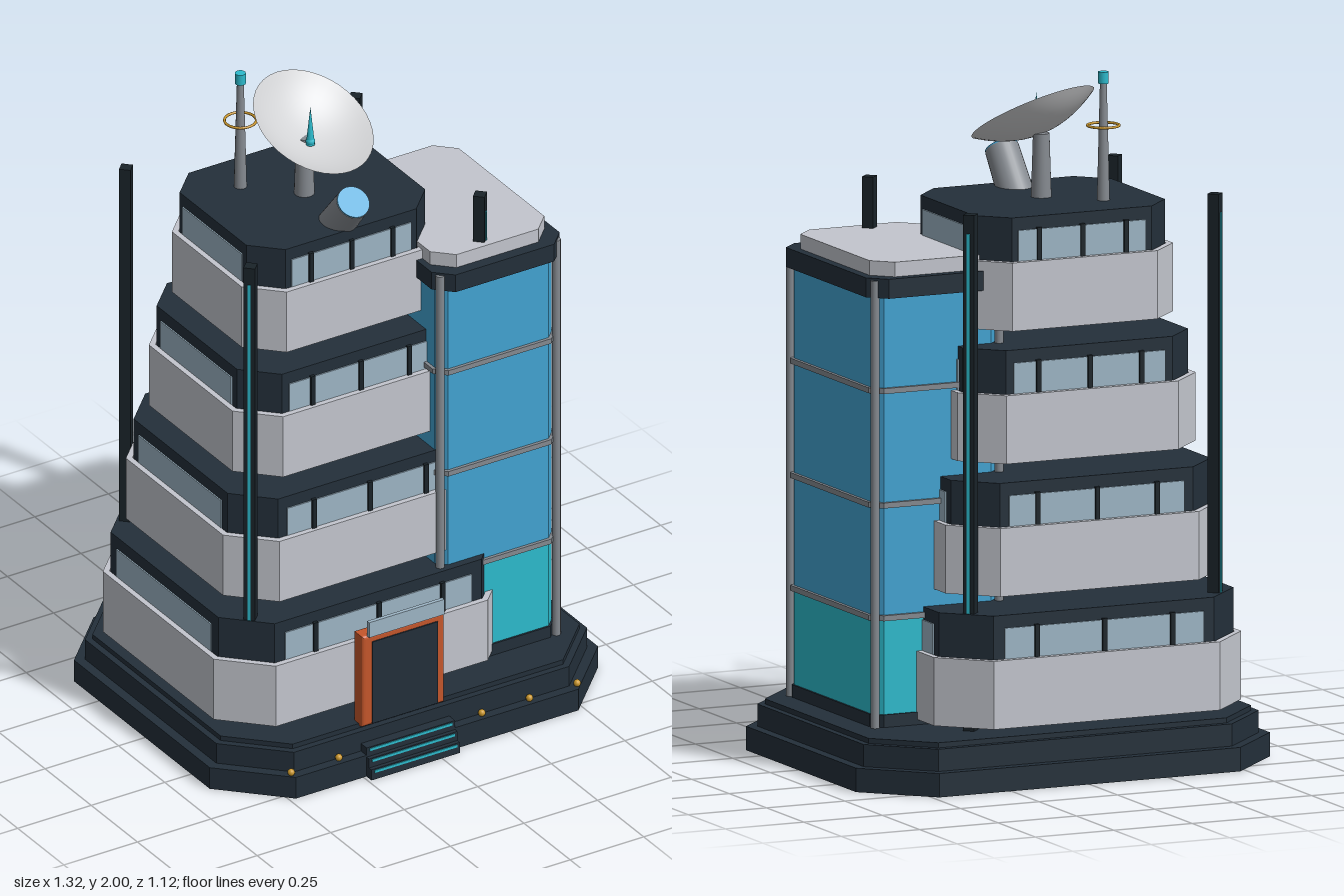
import * as THREE from 'three';

const mat = (name, color, extra = {}) => {
  const m = new THREE.MeshStandardMaterial({ color, ...extra });
  m.name = name;
  return m;
};

// Octagon (rectangle with cut corners) in plan; z is negated so it can be laid flat
function octPoints(x0, x1, z0, z1, c) {
  return [[x0 + c, z1], [x1 - c, z1], [x1, z1 - c], [x1, z0 + c],
    [x1 - c, z0], [x0 + c, z0], [x0, z0 + c], [x0, z1 - c]].map(([x, z]) => new THREE.Vector2(x, -z));
}

// Octagonal slab between two heights, optionally hollow with walls of thickness t
function octSlab([x0, x1, z0, z1, c], y0, y1, t = 0) {
  const shape = new THREE.Shape(octPoints(x0, x1, z0, z1, c));
  if (t) shape.holes.push(new THREE.Path(octPoints(x0 + t, x1 - t, z0 + t, z1 - t, c - t * 0.59).reverse()));
  const g = new THREE.ExtrudeGeometry(shape, { depth: y1 - y0, bevelEnabled: false });
  return g.rotateX(-Math.PI / 2).translate(0, y0, 0);
}

const inset = ([x0, x1, z0, z1, c], d) => [x0 + d, x1 - d, z0 + d, z1 - d, c - d * 0.59];

export function createModel() {
  const root = new THREE.Group();
  root.name = 'tower';
  const dark = mat('dark cladding', 0x232f3a);
  const black = mat('black steel', 0x1a2329);
  const white = mat('pale concrete', 0xc3c6ce);
  const pane = mat('window glass', 0x9db5c5);
  const blue = mat('blue glass', 0x42a3d2);
  const teal = mat('teal glass', 0x2cbbcd);
  const grey = mat('grey metal', 0x858a90);
  const orange = mat('orange frame', 0xc5562b);
  const gold = mat('gold', 0xc9962a);
  const shell = mat('dish white', 0xd2d3d5, { side: THREE.DoubleSide });

  const add = (name, geometry, material, x = 0, y = 0, z = 0, parent = root) => {
    const m = new THREE.Mesh(geometry, material);
    m.name = name;
    m.position.set(x, y, z);
    parent.add(m);
    return m;
  };
  const box = (w, h, d) => new THREE.BoxGeometry(w, h, d);
  const cyl = (r0, r1, h, n = 20) => new THREE.CylinderGeometry(r0, r1, h, n);

  // Stepped base
  const plot = [-0.66, 0.66, -0.565, 0.53, 0.18];
  add('baseLower', octSlab(plot, 0, 0.07), dark);
  add('baseMiddle', octSlab(inset(plot, 0.03), 0.07, 0.135), dark);
  add('baseUpper', octSlab(inset(plot, 0.05), 0.135, 0.15), dark);

  // Entrance steps with glowing edges
  for (let i = 0; i < 3; i++) {
    const front = 0.557 - i * 0.013, top = 0.035 + i * 0.03;
    add('step', box(0.3, top, 0.1), dark, -0.09, top / 2, front - 0.05);
    add('stepLight', box(0.28, 0.008, 0.006), teal, -0.09, top - 0.008, front);
  }

  // Small lamps along the front of the base
  for (let i = 0; i < 7; i++) {
    if (i !== 2) add('baseLamp', new THREE.SphereGeometry(0.011, 10, 8), gold, -0.485 + i * 0.162, 0.08, 0.512);
  }

  // Four stacked storeys, each smaller than the one below
  for (let i = 0; i < 4; i++) {
    const storey = new THREE.Group();
    storey.name = 'storey' + (i + 1);
    root.add(storey);
    const hx = 0.49 - i * 0.055, hz = 0.43 - i * 0.049, y = 0.165 + i * 0.377, c = 0.13 - i * 0.012;
    const band = [-0.1 - hx, -0.1 + hx, -0.04 - hz, -0.04 + hz, c];
    add('parapet', octSlab(band, y, y + 0.2, 0.018), white, 0, 0, 0, storey);
    const wall = inset(band, 0.021);
    add('storeyBody', octSlab(wall, y + 0.004, y + 0.328), dark, 0, 0, 0, storey);
    const flatX = 2 * (hx - c), flatZ = 2 * (hz - c), wy = y + 0.24;
    for (const s of [-1, 1]) {
      const zf = -0.04 + s * (hz - 0.021), xf = -0.1 + s * (hx - 0.021);
      add('longWindow', box(flatX * 0.88, 0.1, 0.008), pane, -0.1, wy, zf, storey);
      add('sideWindow', box(0.008, 0.1, flatZ * 0.85), pane, xf, wy, -0.04, storey);
      for (const k of [-1, 0, 1]) {
        add('mullion', box(0.014, 0.11, 0.02), black, -0.1 + k * flatX * 0.3, wy, zf, storey);
      }
    }
  }

  // Corner masts with light strips on their outward faces
  for (const sx of [-1, 1]) for (const sz of [-1, 1]) {
    const mast = new THREE.Group();
    mast.name = 'cornerMast';
    mast.position.set(-0.1 + sx * 0.39, 0.905, -0.037 + sz * 0.337);
    mast.rotation.y = Math.atan2(sx, sz);
    root.add(mast);
    add('mastPost', box(0.034, 1.51, 0.034), black, 0, 0, 0, mast);
    add('mastLight', box(0.009, 1.4, 0.006), teal, 0, 0, 0.017, mast);
  }

  // Glass stair tower
  const glass = [0.125, 0.523, -0.225, 0.345, 0.028];
  add('glassPlinth', octSlab(inset(glass, -0.006), 0.15, 0.187), dark);
  add('lobbyGlass', octSlab(glass, 0.187, 0.47), teal);
  add('shaftGlass', octSlab(glass, 0.47, 1.41), blue);
  for (const y of [0.47, 0.8, 1.135]) add('glassRail', octSlab(inset(glass, -0.01), y - 0.008, y + 0.008), grey);
  for (const x of [0.128, 0.523]) for (const z of [-0.225, 0.342]) {
    add('glassColumn', cyl(0.013, 0.013, 1.31, 12), grey, x, 0.805, z);
  }
  add('glassCornice', octSlab([0.11, 0.545, -0.26, 0.375, 0.05], 1.41, 1.467), dark);
  add('glassRoof', octSlab([0.13, 0.518, -0.232, 0.34, 0.055], 1.467, 1.51), white);

  // Entrance portal
  const frame = new THREE.Shape([[-0.225, 0.155], [0.035, 0.155], [0.035, 0.435], [-0.225, 0.435]]
    .map(([x, y]) => new THREE.Vector2(x, y)));
  add('doorFrame', new THREE.ExtrudeGeometry(frame, {
    depth: 0.03, bevelThickness: 0.01, bevelSize: 0.01, bevelSegments: 3,
  }), orange, 0, 0, 0.46);
  add('door', box(0.222, 0.27, 0.008), dark, -0.092, 0.287, 0.5);
  add('doorCanopy', box(0.255, 0.05, 0.012), pane, -0.09, 0.468, 0.503);

  // Roof dish on a tapered pedestal
  add('dishPedestal', cyl(0.024, 0.03, 0.19), grey, -0.1, 1.715, -0.03);
  const dish = new THREE.Group();
  dish.name = 'dish';
  dish.position.set(-0.086, 1.867, -0.003);
  dish.quaternion.setFromUnitVectors(new THREE.Vector3(0, 1, 0), new THREE.Vector3(0.19, 0.87, 0.46).normalize());
  root.add(dish);
  const profile = [];
  for (let i = 0; i <= 10; i++) profile.push(new THREE.Vector2(0.19 * i / 10, 0.065 * ((i / 10) ** 2 - 1)));
  add('dishBowl', new THREE.LatheGeometry(profile, 40), shell, 0, 0, 0, dish);
  add('dishFeed', new THREE.ConeGeometry(0.013, 0.125, 12), teal, -0.1, 1.862, 0.003);
  add('dishFeedBase', new THREE.SphereGeometry(0.014, 12, 8), teal, -0.1, 1.81, 0.003);

  // Tilted telescope barrel with a blue lens
  const scope = new THREE.Group();
  scope.name = 'telescope';
  scope.position.set(-0.102, 1.72, 0.237);
  scope.rotation.x = Math.atan2(0.62, 0.78);
  root.add(scope);
  add('telescopeBarrel', cyl(0.05, 0.054, 0.18, 28), grey, 0, -0.09, 0, scope);
  add('telescopeLens', cyl(0.049, 0.049, 0.006, 28), blue, 0, 0.002, 0, scope);

  // Antenna with a gold ring and a teal beacon
  add('antennaMast', cyl(0.01, 0.019, 0.345, 14), grey, -0.237, 1.797, -0.158);
  add('antennaBeacon', cyl(0.016, 0.016, 0.034, 14), teal, -0.237, 1.983, -0.158);
  add('antennaRing', new THREE.TorusGeometry(0.046, 0.004, 8, 32).rotateX(Math.PI / 2), gold, -0.237, 1.843, -0.158);

  return root;
}
